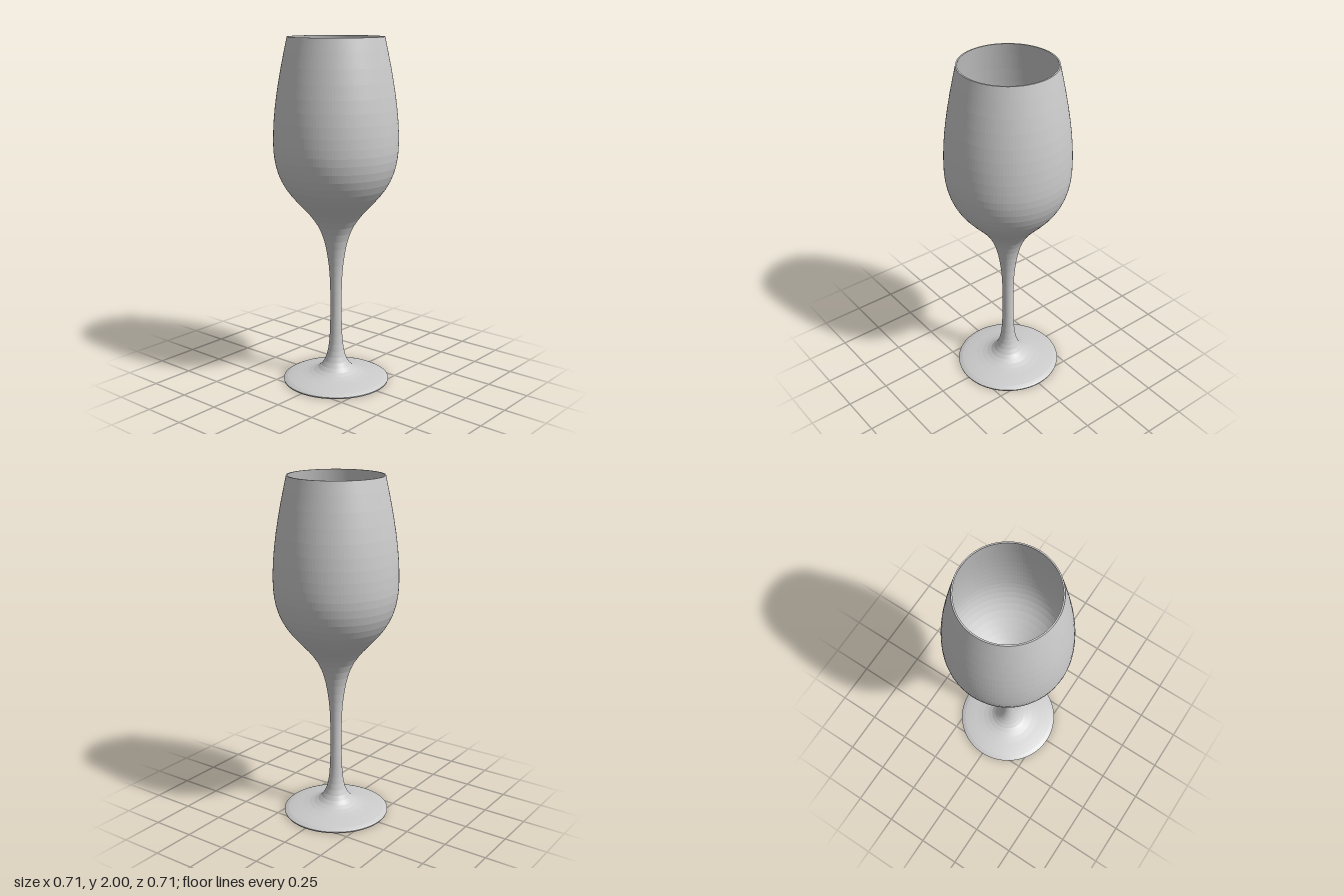
import * as THREE from 'three';

const SEGMENTS = 128;
const toPoints = (pairs) => pairs.map(([r, y]) => new THREE.Vector2(r, y));
const smooth = (pairs, n) => new THREE.SplineCurve(toPoints(pairs)).getPoints(n);

export function createModel() {
  const group = new THREE.Group();
  group.name = 'wineGlass';
  const material = new THREE.MeshStandardMaterial({
    color: 0xcccccc, flatShading: true, side: THREE.DoubleSide,
  });

  const addLathe = (name, profile) => {
    const mesh = new THREE.Mesh(new THREE.LatheGeometry(profile, SEGMENTS), material);
    mesh.name = name;
    group.add(mesh);
  };

  // Outer silhouette from the foot's edge to the rim (radius, height)
  const outer = smooth([
    [0.31, 0.008], [0.285, 0.02], [0.23, 0.032], [0.16, 0.046], [0.105, 0.07],
    [0.068, 0.115], [0.047, 0.18], [0.037, 0.27], [0.033, 0.4], [0.033, 0.52],
    [0.037, 0.64], [0.049, 0.75], [0.07, 0.85], [0.105, 0.935], [0.16, 1.01],
    [0.225, 1.08], [0.285, 1.155], [0.327, 1.24], [0.348, 1.33], [0.353, 1.42],
    [0.348, 1.54], [0.332, 1.68], [0.304, 1.84], [0.27, 2],
  ], 46);

  // Inner wall of the bowl, from the rim down to the centre
  const inner = smooth([
    [0.262, 2], [0.296, 1.84], [0.324, 1.68], [0.34, 1.54], [0.345, 1.42],
    [0.34, 1.33], [0.319, 1.245], [0.277, 1.167], [0.215, 1.094],
    [0.15, 1.03], [0.11, 1.0], [0.06, 0.975], [0, 0.965],
  ], 24);
  inner[inner.length - 1].x = 0;

  // The parts share the rings where they meet
  const footEnd = outer.findIndex((p) => p.y > 0.11);
  const stemEnd = outer.findIndex((p) => p.y > 0.84);
  addLathe('foot', [...toPoints([[0, 0], [0.308, 0]]), ...outer.slice(0, footEnd + 1)]);
  addLathe('stem', outer.slice(footEnd, stemEnd + 1));
  addLathe('bowl', [...outer.slice(stemEnd), ...inner]);

  return group;
}
